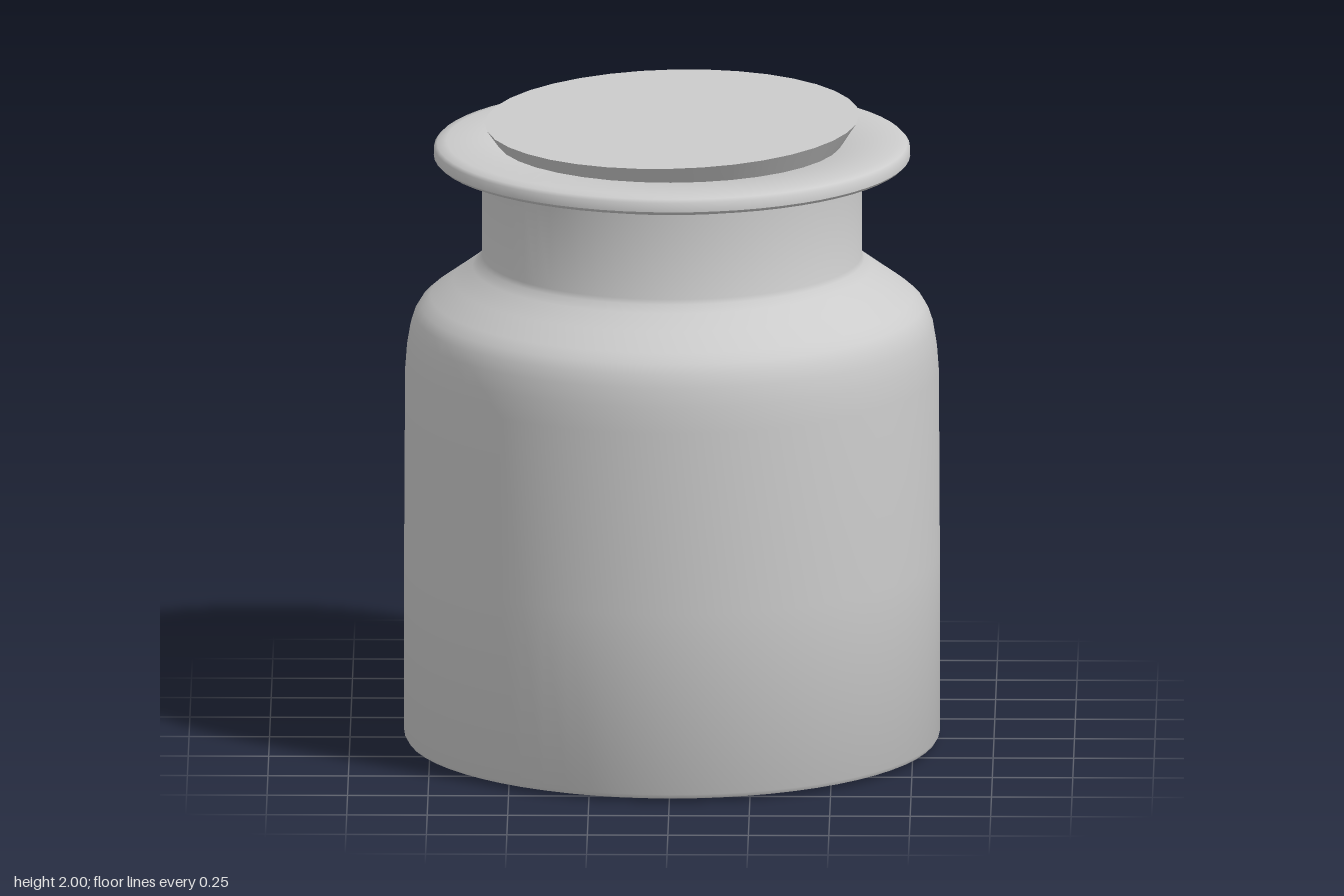
import * as THREE from 'three';
import { toCreasedNormals } from 'three/addons/utils/BufferGeometryUtils.js';

const material = new THREE.MeshStandardMaterial({ color: 0xcccccc });

function lathe(name, points, sides, crease) {
  const profile = points.map(([r, y]) => new THREE.Vector2(r, y));
  const geometry = toCreasedNormals(new THREE.LatheGeometry(profile, sides), crease);
  const mesh = new THREE.Mesh(geometry, material);
  mesh.name = name;
  return mesh;
}

export function createModel() {
  const model = new THREE.Group();
  model.name = 'stopperedJar';

  // Jar: base, wall, sloping shoulder, straight neck, flared lip, then the inside
  model.add(lathe('jar', [
    [0, 0.012], [0.3, 0.01], [0.5, 0.005], [0.74, 0], [0.8, 0.005], [0.825, 0.012], [0.832, 0.025],
    [0.832, 0.6], [0.829, 1.18], [0.823, 1.26], [0.813, 1.32], [0.8, 1.36], [0.782, 1.39], [0.75, 1.418],
    [0.68, 1.468], [0.62, 1.512], [0.597, 1.535], [0.59, 1.55],
    [0.59, 1.82], [0.605, 1.832], [0.65, 1.845], [0.73, 1.856], [0.74, 1.866],
    [0.739, 1.895], [0.73, 1.905], [0.7, 1.912], [0.52, 1.912], [0.5, 1.9],
    [0.5, 1.54], [0.7, 1.39], [0.75, 1.3], [0.76, 1.15], [0.76, 0.08], [0, 0.08],
  ], 64, 0.75));

  // Tapered stopper, seated slightly askew
  const stopper = lathe('stopper', [
    [0, -0.18], [0.46, -0.18], [0.582, 0], [0, 0],
  ], 36, 0.6);
  stopper.position.y = 1.98;
  stopper.rotation.set(0.024, 0, 0.024);
  model.add(stopper);

  return model;
}
